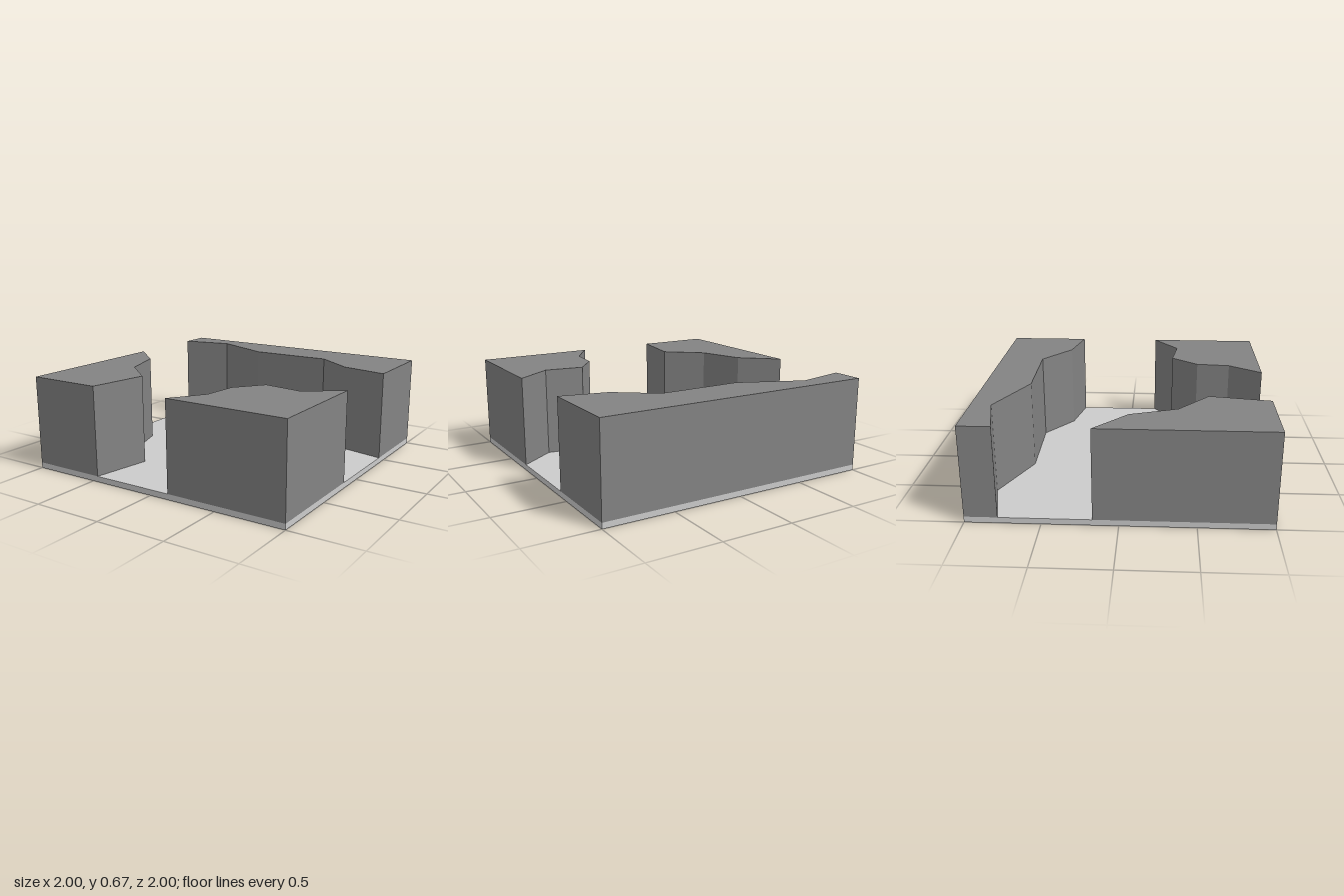
import * as THREE from 'three';

const FLOOR = 0.04, TOP = 0.67;

// Outlines seen from above, as [x, z]
const BLOCKS = {
  backWall: [[-1, -1], [-1, -0.78], [-0.63, -0.86], [-0.19, -0.67], [0.4, -0.68], [0.67, -0.48], [1, -0.41], [1, -1]],
  frontRightBlock: [[-1, 1], [-0.46, 1], [-0.39, 0.58], [-0.64, 0.37], [-0.75, 0.05], [-1, -0.17]],
  frontLeftBlock: [[1, 1], [1, 0.2], [0.75, 0.38], [0.475, 0.34], [0.325, 0.53], [0.3, 0.77], [0.14, 1]],
};

// Raise an outline into a solid standing on the floor slab
function rockBlock(name, outline, material) {
  const shape = new THREE.Shape(outline.map(([x, z]) => new THREE.Vector2(x, -z)));
  const geometry = new THREE.ExtrudeGeometry(shape, { depth: TOP - FLOOR, bevelEnabled: false });
  geometry.rotateX(-Math.PI / 2).translate(0, FLOOR, 0);
  const mesh = new THREE.Mesh(geometry, material);
  mesh.name = name;
  return mesh;
}

export function createModel() {
  const model = new THREE.Group();
  model.name = 'caveJunctionTile';

  // Floor slab
  const floor = new THREE.Mesh(
    new THREE.BoxGeometry(2, FLOOR, 2),
    new THREE.MeshStandardMaterial({ color: 0xcccccc }),
  );
  floor.position.y = FLOOR / 2;
  floor.name = 'floor';
  model.add(floor);

  // Rock walls around the three-way passage
  const rock = new THREE.MeshStandardMaterial({ color: 0x838383 });
  for (const [name, outline] of Object.entries(BLOCKS)) model.add(rockBlock(name, outline, rock));

  return model;
}
